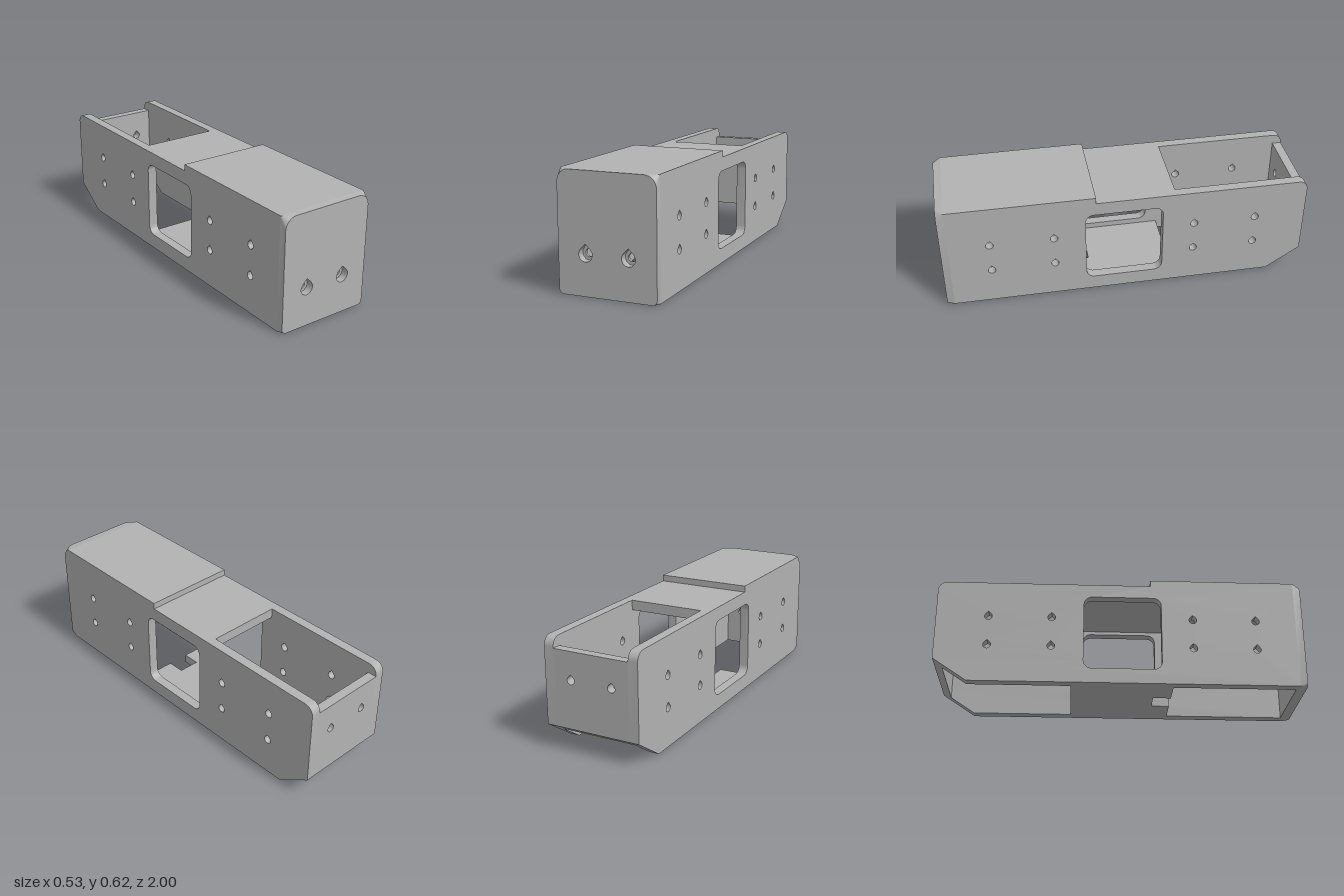
import * as THREE from 'three';
import { toCreasedNormals } from 'three/addons/utils/BufferGeometryUtils.js';

const W = 0.263, T = 0.053, INNER = W - T;   // half width, wall thickness, inner half width
const TOP = 0.62, REAR_TOP = 0.585, CEILING = 0.53, STEP_Z = 0.165;
const FRONT_BACK = 0.945, LIP_BACK = 0.96;   // front wall: inner face and base of the lip

// Rounded polygon; each corner is [x, y, radius]
function polygon(corners, Type = THREE.Shape) {
  const s = new Type(), n = corners.length;
  corners.forEach(([x, y, r = 0], i) => {
    const p = new THREE.Vector2(x, y);
    const toward = (c) => new THREE.Vector2(c[0], c[1]).sub(p).normalize().multiplyScalar(r).add(p);
    const a = toward(corners[(i + n - 1) % n]), b = toward(corners[(i + 1) % n]);
    if (i === 0) s.moveTo(a.x, a.y); else s.lineTo(a.x, a.y);
    // Conic-like blend close to a circular fillet
    const k = 0.5523;
    if (r) s.bezierCurveTo(
      a.x + (x - a.x) * k, a.y + (y - a.y) * k,
      b.x + (x - b.x) * k, b.y + (y - b.y) * k, b.x, b.y);
  });
  s.closePath();
  return s;
}

// Teardrop screw hole with its point up
function teardrop(x, y, r) {
  const p = new THREE.Path(), n = 10;
  p.moveTo(x, y + r * 1.414);
  for (let i = 0; i <= n; i++) {
    const a = Math.PI * (0.75 + 1.5 * i / n);
    p.lineTo(x + r * Math.cos(a), y + r * Math.sin(a));
  }
  p.closePath();
  return p;
}

const extrude = (shape, depth) =>
  new THREE.ExtrudeGeometry(shape, { depth, bevelEnabled: false, curveSegments: 8 });

// Profile drawn in (z, y), swept across x from x1 down to x0
const sweepX = (shape, x0, x1) =>
  extrude(shape, x1 - x0).rotateY(-Math.PI / 2).translate(x1, 0, 0);

export function createModel() {
  const group = new THREE.Group();
  const grey = new THREE.MeshStandardMaterial({ color: 0xb2b2b2 });
  grey.name = 'plain grey';
  const add = (name, geometry) => {
    const m = new THREE.Mesh(toCreasedNormals(geometry, 0.5), grey);
    m.name = name;
    group.add(m);
  };

  // Side walls with a square window and eight screw holes
  const side = polygon([
    [LIP_BACK, 0], [LIP_BACK, TOP], [STEP_Z, TOP], [STEP_Z, REAR_TOP],
    [-1, REAR_TOP, 0.05], [-1, 0.125], [-0.815, 0],
  ]);
  side.holes.push(polygon([
    [-0.2, 0.083, 0.045], [0.223, 0.083, 0.045], [0.223, 0.51, 0.045], [-0.2, 0.51, 0.045],
  ], THREE.Path));
  for (const z of [0.74, 0.395, -0.375, -0.717])
    for (const y of [0.21, 0.38]) side.holes.push(teardrop(z, y, 0.021));
  add('leftWall', sweepX(side, INNER, W));
  add('rightWall', sweepX(side, -W, -INNER));

  // Stepped roof, open behind
  add('roof', sweepX(polygon([
    [LIP_BACK, CEILING], [LIP_BACK, TOP], [STEP_Z, TOP], [STEP_Z, REAR_TOP],
    [-0.27, REAR_TOP], [-0.27, CEILING],
  ]), -INNER, INNER));

  // Middle floor with a notch in its front edge
  add('floor', extrude(polygon([
    [-INNER, -0.265], [INNER, -0.265], [INNER, 0.285], [0.06, 0.285],
    [0.06, 0.187], [-0.06, 0.187], [-0.06, 0.285], [-INNER, 0.285],
  ]), 0.05).rotateX(Math.PI / 2).translate(0, 0.05, 0));

  // Back wall with a slanted underside and two screw holes
  const back = polygon([[-INNER, 0.125], [INNER, 0.125], [INNER, CEILING], [-INNER, CEILING]]);
  for (const x of [-0.115, 0.115]) back.holes.push(teardrop(x, 0.38, 0.021));
  const backGeo = extrude(back, 0.05).translate(0, 0, -1);
  const bp = backGeo.attributes.position;
  for (let i = 0; i < bp.count; i++)
    if (bp.getZ(i) > -0.96 && bp.getY(i) < 0.13) bp.setY(i, 0.091);
  add('backWall', backGeo);

  // Front wall: inner layer with small holes
  const inner = polygon([[-INNER, 0], [INNER, 0], [INNER, CEILING], [-INNER, CEILING]]);
  // and outer layer with rounded corners and wider holes
  const outer = polygon([[-W, 0, 0.026], [W, 0, 0.026], [W, TOP, 0.065], [-W, TOP, 0.065]]);
  for (const x of [-0.115, 0.115]) {
    inner.holes.push(teardrop(x, 0.21, 0.02));
    outer.holes.push(teardrop(x, 0.21, 0.037));
  }
  add('frontWallInner', extrude(inner, LIP_BACK - FRONT_BACK).translate(0, 0, FRONT_BACK));

  // Rounded front corners blend into square ones at the base of the lip
  const lip = extrude(outer, 1 - LIP_BACK).translate(0, 0, LIP_BACK);
  const p = lip.attributes.position;
  for (let i = 0; i < p.count; i++) {
    if (p.getZ(i) > 0.99) continue;
    const high = p.getY(i) > TOP / 2, r = (high ? 0.065 : 0.026) + 0.001;
    const cx = Math.sign(p.getX(i)) * W, cy = high ? TOP : 0;
    if (Math.abs(p.getX(i) - cx) < r && Math.abs(p.getY(i) - cy) < r) p.setXY(i, cx, cy);
  }
  add('frontWallOuter', lip);

  return group;
}
